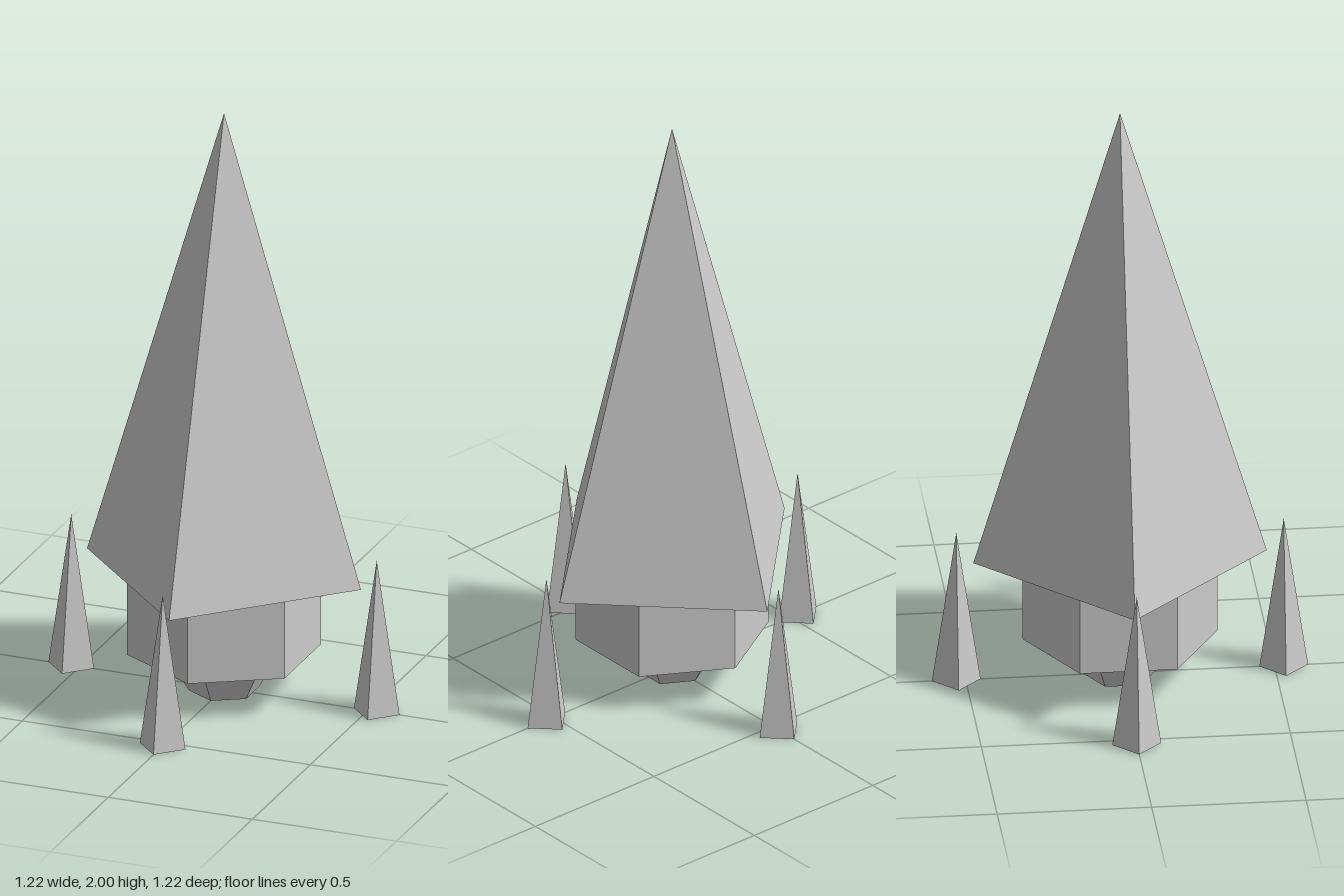
import * as THREE from 'three';

export function createModel() {
  const model = new THREE.Group();
  const material = new THREE.MeshStandardMaterial({ color: 0xcccccc, flatShading: true });

  // Upright faceted part spanning y0..y1 (corners point along +z)
  function addPart(name, rTop, rBottom, y0, y1, sides, x = 0, z = 0) {
    const geometry = new THREE.CylinderGeometry(rTop, rBottom, y1 - y0, sides);
    const mesh = new THREE.Mesh(geometry, material);
    mesh.name = name;
    mesh.position.set(x, (y0 + y1) / 2, z);
    model.add(mesh);
  }

  // Four-sided hull
  addPart('hull', 0, 0.475, 0.415, 2, 4);

  // Hexagonal core inside the hull, engine block and tapered nozzle
  addPart('core', 0.267, 0.267, 0.38, 0.78, 6);
  addPart('engineBlock', 0.315, 0.315, 0.135, 0.403, 6);
  addPart('nozzle', 0.19, 0.115, 0, 0.135, 6);

  // Four free-standing spikes around the hull
  const spikes = [['frontSpike', 0, 1], ['leftSpike', 1, 0], ['backSpike', 0, -1], ['rightSpike', -1, 0]];
  for (const [name, x, z] of spikes) {
    addPart(name, 0, 0.079, 0, 0.525, 4, x * 0.53, z * 0.53);
  }

  return model;
}
